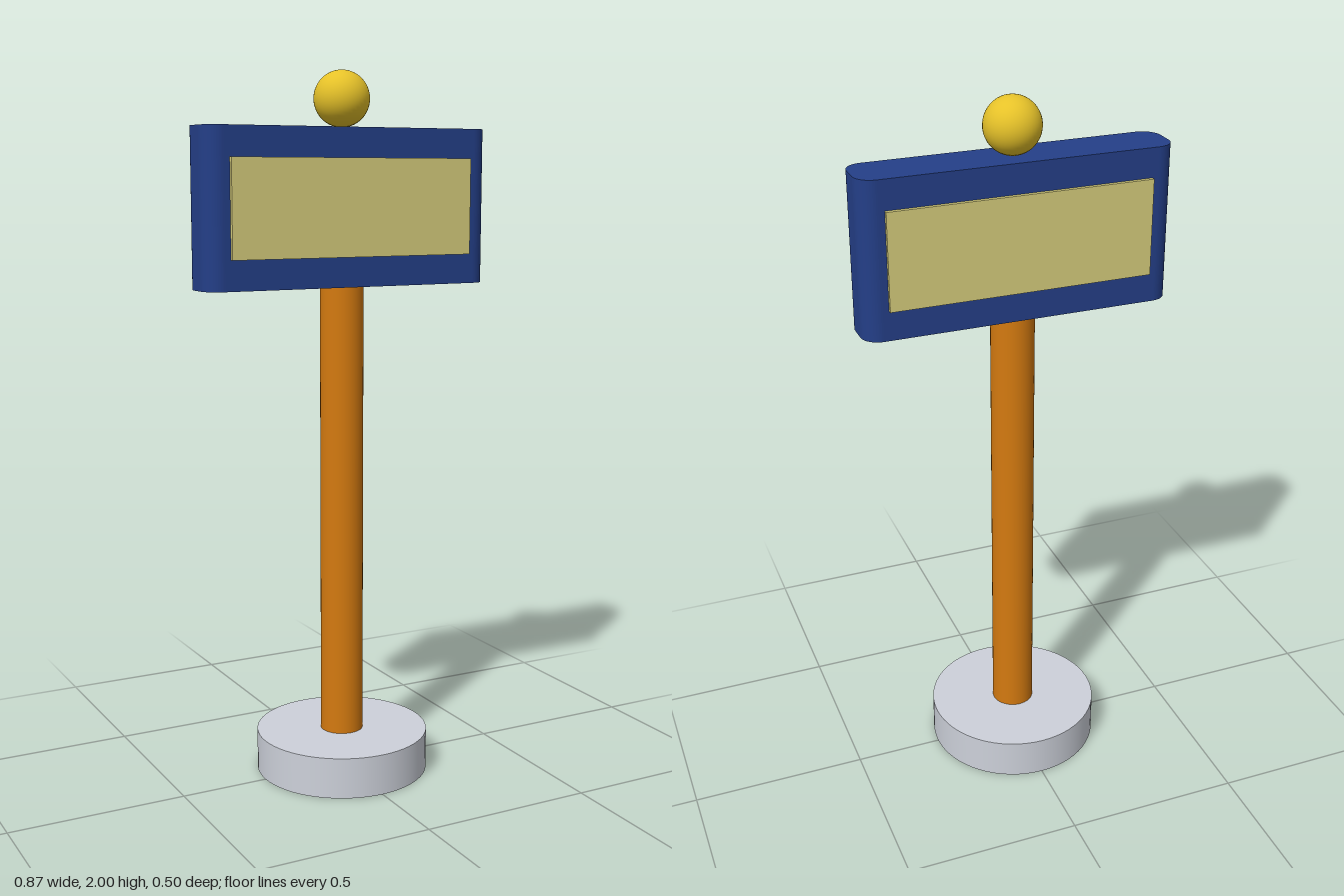
import * as THREE from 'three';

const material = (name, color) => {
  const m = new THREE.MeshStandardMaterial({ color });
  m.name = name;
  return m;
};

export function createModel() {
  const group = new THREE.Group();
  group.name = 'signPost';

  const stone = material('pale grey', 0xcdd1da);
  const wood = material('orange brown', 0xd47a10);
  const navy = material('navy blue', 0x243f88);
  const cream = material('dull yellow', 0xd6cd7c);
  const gold = material('gold', 0xe6c229);

  const add = (name, geometry, mat, y, z = 0) => {
    const mesh = new THREE.Mesh(geometry, mat);
    mesh.name = name;
    mesh.position.set(0, y, z);
    group.add(mesh);
    return mesh;
  };

  // Round foot and post
  add('base', new THREE.CylinderGeometry(0.248, 0.248, 0.117, 64), stone, 0.0585);
  add('post', new THREE.CylinderGeometry(0.061, 0.061, 1.30, 40), wood, 0.765);

  // Sign board: plan outline with rounded vertical corners, extruded upwards
  const w = 0.434, d = 0.074, r = 0.05;
  const plan = new THREE.Shape();
  plan.absarc(w - r, d - r, r, 0, Math.PI / 2);
  plan.absarc(-w + r, d - r, r, Math.PI / 2, Math.PI);
  plan.absarc(-w + r, -d + r, r, Math.PI, Math.PI * 1.5);
  plan.absarc(w - r, -d + r, r, Math.PI * 1.5, Math.PI * 2);
  plan.closePath();
  const board = new THREE.ExtrudeGeometry(plan, { depth: 0.433, bevelEnabled: false, curveSegments: 10 });
  board.rotateX(-Math.PI / 2);
  add('signBoard', board, navy, 1.412);

  // Raised panel on each face
  for (const [name, side] of [['frontPanel', 1], ['backPanel', -1]]) {
    add(name, new THREE.BoxGeometry(0.734, 0.268, 0.012), cream, 1.629, side * 0.079);
  }

  // Ball on top
  add('ball', new THREE.SphereGeometry(0.0775, 40, 28), gold, 1.9225);

  return group;
}
